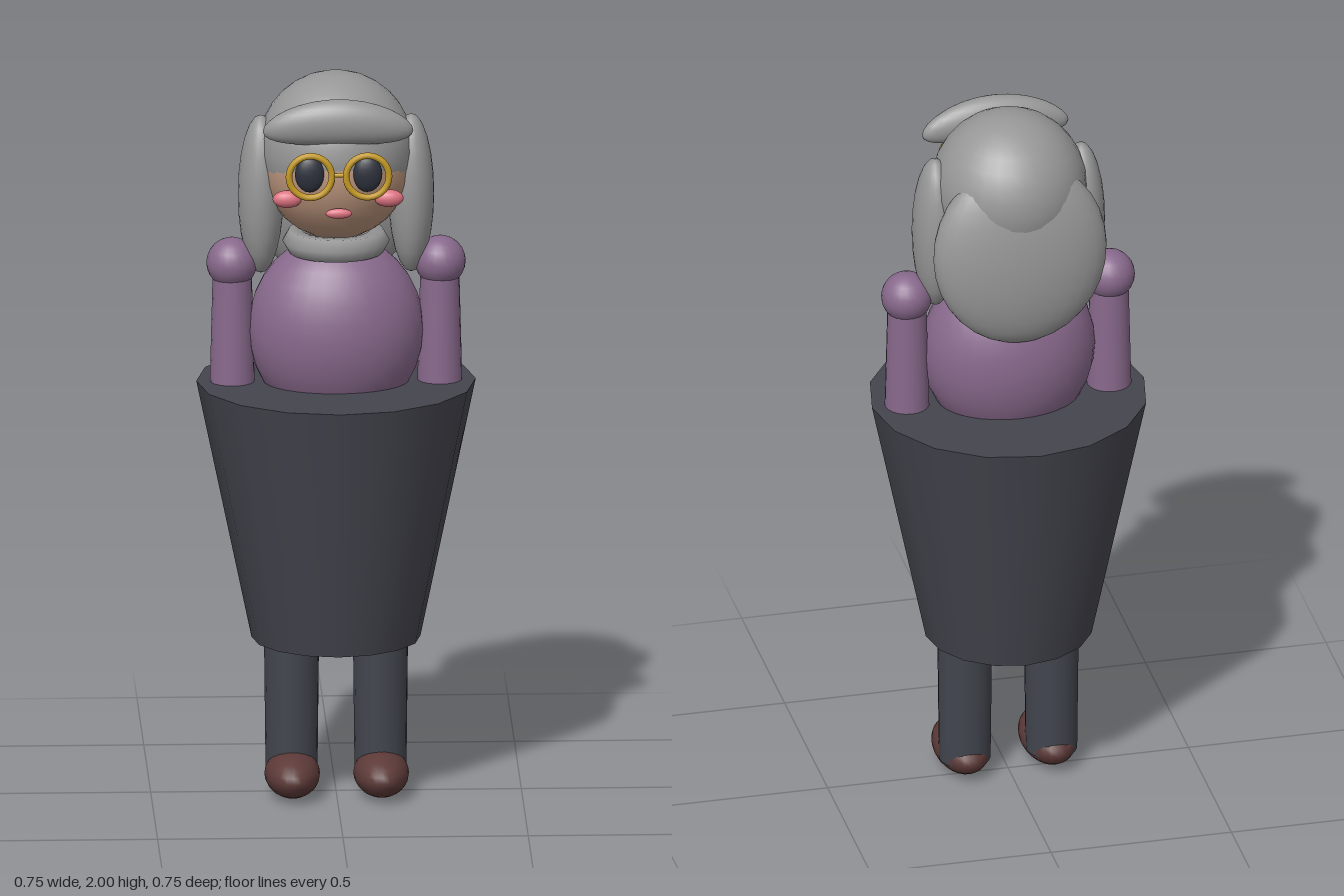
import * as THREE from 'three';

const mat = (name, color) => {
  const m = new THREE.MeshStandardMaterial({ color });
  m.name = name;
  return m;
};

export function createModel() {
  const hair = mat('grey hair', 0x979797);
  const purple = mat('purple cloth', 0x88698c);
  const charcoal = mat('charcoal cloth', 0x44444e);
  const trouser = mat('dark grey leggings', 0x42454e);
  const brown = mat('brown leather', 0x5c3a38);
  const skin = mat('skin', 0xb8927a);
  const gold = mat('gold', 0xc59a22);
  const pink = mat('pink', 0xdc7280);
  const dark = mat('dark eye', 0x2d313b);

  const model = new THREE.Group();
  model.name = 'figure';

  const add = (name, geometry, material, x, y, z) => {
    const mesh = new THREE.Mesh(geometry, material);
    mesh.name = name;
    mesh.position.set(x, y, z);
    model.add(mesh);
    return mesh;
  };
  const ball = (name, material, [x, y, z], [rx, ry, rz], seg = 32) =>
    add(name, new THREE.SphereGeometry(1, seg, seg / 2).scale(rx, ry, rz), material, x, y, z);

  // Clothing and body
  add('skirt', new THREE.CylinderGeometry(0.377, 0.228, 0.715, 16), charcoal, 0, 0.788, 0);
  ball('torso', purple, [0, 1.29, 0], [0.237, 0.26, 0.185]);
  const collar = new THREE.TorusGeometry(0.11, 0.035, 6, 24).rotateX(Math.PI / 2);
  add('collar', collar, hair, 0, 1.535, 0);

  // Head and hair
  ball('head', skin, [0, 1.745, 0], [0.2, 0.2, 0.2]);
  ball('hairCap', hair, [0, 1.79, -0.012], [0.21, 0.21, 0.21]);
  ball('backHair', hair, [0, 1.65, -0.14], [0.24, 0.265, 0.09]).rotation.x = 0.08;

  // Fringe: an ellipsoid whose ends droop down and back
  const fringe = new THREE.SphereGeometry(1, 32, 16).scale(0.203, 0.063, 0.044);
  const p = fringe.attributes.position;
  for (let i = 0; i < p.count; i++) {
    const x2 = p.getX(i) ** 2;
    p.setY(i, p.getY(i) - 0.65 * x2);
    p.setZ(i, p.getZ(i) - 0.3 * x2);
  }
  fringe.computeVertexNormals();
  add('fringe', fringe, hair, 0, 1.905, 0.162);

  // Paired parts
  for (const [side, s] of [['left', 1], ['right', -1]]) {
    add(side + 'Leg', new THREE.CylinderGeometry(0.075, 0.07, 0.45, 20), trouser, s * 0.12, 0.275, 0);
    ball(side + 'Shoe', brown, [s * 0.12, 0.0625, 0.048], [0.075, 0.0625, 0.133], 24);
    add(side + 'Arm', new THREE.CylinderGeometry(0.052, 0.062, 0.4, 20), purple, s * 0.28, 1.28, 0);
    ball(side + 'Shoulder', purple, [s * 0.281, 1.475, 0], [0.069, 0.069, 0.069], 24);
    ball(side + 'HairLock', hair, [s * 0.203, 1.665, -0.003], [0.062, 0.22, 0.083], 24);
    ball(side + 'Eye', dark, [s * 0.078, 1.768, 0.19], [0.04, 0.05, 0.02], 20);
    ball(side + 'Cheek', pink, [s * 0.137, 1.69, 0.153], [0.04, 0.024, 0.022], 20);
    add(side + 'GlassesRim', new THREE.TorusGeometry(0.058, 0.009, 10, 32), gold, s * 0.077, 1.768, 0.218);
  }

  // Glasses bridge and mouth
  add('glassesBridge', new THREE.CylinderGeometry(0.006, 0.006, 0.05, 10).rotateZ(Math.PI / 2), gold, 0, 1.772, 0.218);
  ball('mouth', pink, [0, 1.66, 0.198], [0.036, 0.014, 0.012], 20);

  return model;
}
